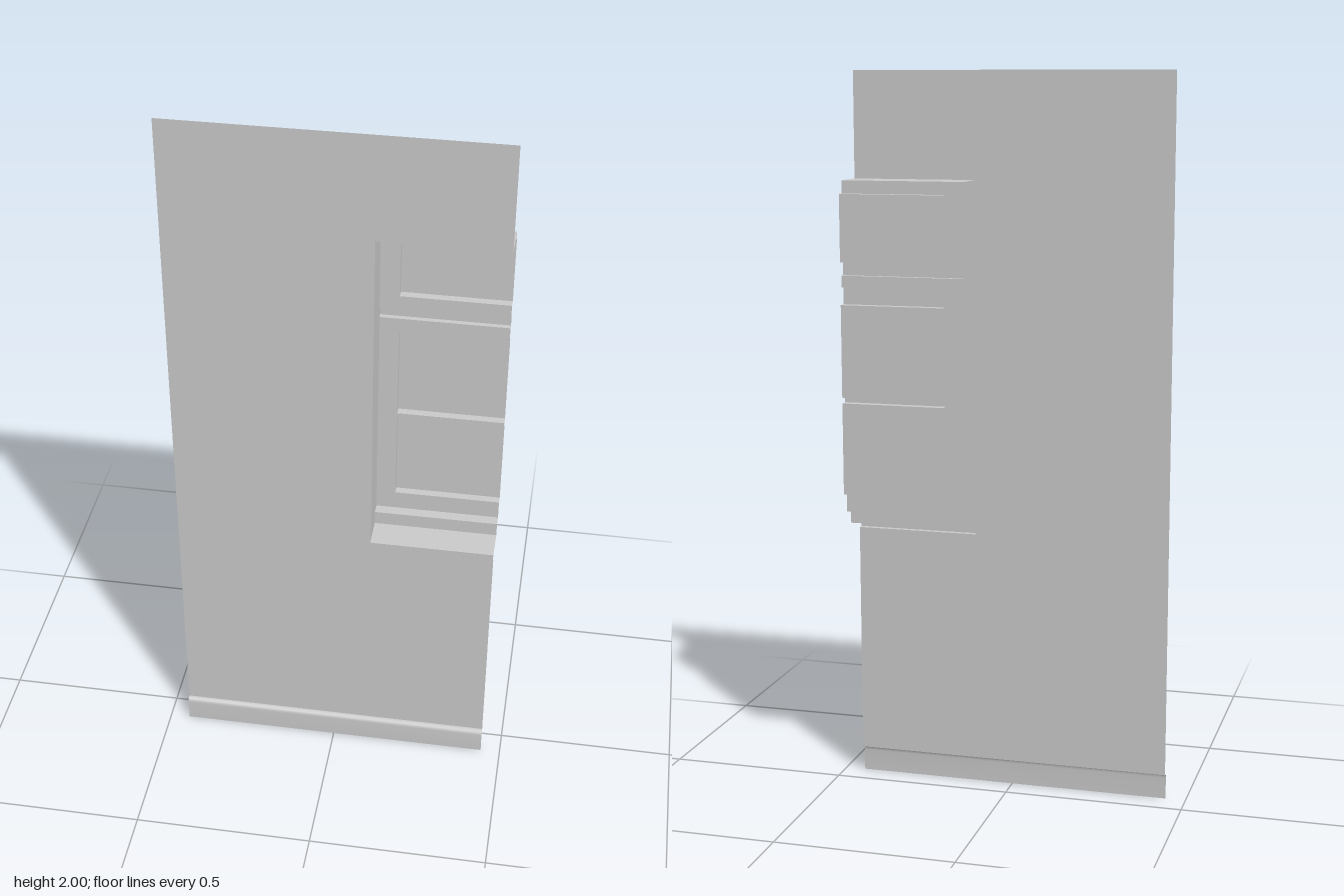
import * as THREE from 'three';
import { toCreasedNormals } from 'three/addons/utils/BufferGeometryUtils.js';

const material = new THREE.MeshStandardMaterial({ color: 0xcccccc, side: THREE.DoubleSide });

const LEFT = -0.444, RIGHT = 0.444;     // wall ends
const JAMB = 0.103, PANE_EDGE = 0.155;  // start of the recess and of the panes
const WALL_Z = 0.0555, FRAME_Z = -0.048, PANE_Z = -0.0705, GROOVE_Z = -0.062;
const TOP = 1.709, SILL = 0.758, LIP_BOTTOM = 0.7285, SKIRT = 0.074;

function addMesh(parent, name, geometry) {
  const mesh = new THREE.Mesh(geometry, material);
  mesh.name = name;
  parent.add(mesh);
}

// Open strip: a [z, y] profile drawn along x from x0 to x1
function strip(profile, x0, x1) {
  const positions = [];
  for (let i = 0; i < profile.length - 1; i++) {
    const [z0, y0] = profile[i], [z1, y1] = profile[i + 1];
    positions.push(x0, y0, z0, x0, y1, z1, x1, y1, z1);
    positions.push(x0, y0, z0, x1, y1, z1, x1, y0, z0);
  }
  const geometry = new THREE.BufferGeometry();
  geometry.setAttribute('position', new THREE.Float32BufferAttribute(positions, 3));
  geometry.computeVertexNormals();
  return toCreasedNormals(geometry, 0.8);
}

function flatShape(points) {
  return new THREE.ShapeGeometry(new THREE.Shape(points.map(([a, b]) => new THREE.Vector2(a, b))));
}

// Flat side face at x, outlined by [z, y] points, facing +x
function sideFace(points, x) {
  const geometry = flatShape(points.map(([z, y]) => [-z, y]));
  return geometry.rotateY(Math.PI / 2).translate(x, 0, 0);
}

export function createModel() {
  const model = new THREE.Group();
  model.name = 'wallWithWindow';

  // Wall sheet with the window opening cut into its left end
  addMesh(model, 'wall', flatShape([
    [LEFT, SKIRT], [RIGHT, SKIRT], [RIGHT, LIP_BOTTOM], [JAMB, LIP_BOTTOM],
    [JAMB, TOP], [RIGHT, TOP], [RIGHT, 2], [LEFT, 2],
  ]).translate(0, 0, WALL_Z));

  // Skirting board with a rounded top edge
  addMesh(model, 'skirtingBoard', strip([
    [WALL_Z, SKIRT], [0.062, SKIRT], [0.067, 0.0715], [0.0695, 0.066], [0.07, 0.06], [0.07, 0],
  ], LEFT, RIGHT));

  const recess = new THREE.Group();
  recess.name = 'windowRecess';
  model.add(recess);

  // Sill: overhanging lip, ledge and step up to the frame
  const sill = [
    [WALL_Z, LIP_BOTTOM], [0.07, LIP_BOTTOM], [0.07, SILL],
    [-0.018, SILL], [-0.018, 0.797], [FRAME_Z, 0.797],
  ];
  const groove = [[FRAME_Z, 1.4225], [GROOVE_Z, 1.4225], [GROOVE_Z, 1.454], [FRAME_Z, 1.454]];
  const head = [[FRAME_Z, TOP], [WALL_Z, TOP]];
  addMesh(recess, 'sill', strip(sill, JAMB, RIGHT));
  addMesh(recess, 'head', strip(head, JAMB, RIGHT));
  addMesh(recess, 'jamb', sideFace([...sill, ...groove, ...head], JAMB));

  // Frame stile beside the panes, crossed by the groove
  addMesh(recess, 'frameStile', strip([[FRAME_Z, 0.797], ...groove, [FRAME_Z, TOP]], JAMB, PANE_EDGE));

  // Sunken panes, with frame rails between them
  const panes = [[0.85, 1.105], [1.1205, 1.375], [1.491, 1.674]];
  let railStart = 0.797;
  panes.forEach(([bottom, top], i) => {
    const crossing = i === 2 ? groove : [];
    addMesh(recess, 'frameRail', strip(
      [[FRAME_Z, railStart], ...crossing, [FRAME_Z, bottom]], PANE_EDGE, RIGHT));
    const outline = [[FRAME_Z, bottom], [PANE_Z, bottom], [PANE_Z, top], [FRAME_Z, top]];
    addMesh(recess, 'windowPane', strip(outline, PANE_EDGE, RIGHT));
    addMesh(recess, 'paneEdge', sideFace(outline, PANE_EDGE));
    railStart = top;
  });
  addMesh(recess, 'topRail', strip([[FRAME_Z, railStart], [FRAME_Z, TOP]], PANE_EDGE, RIGHT));

  return model;
}
